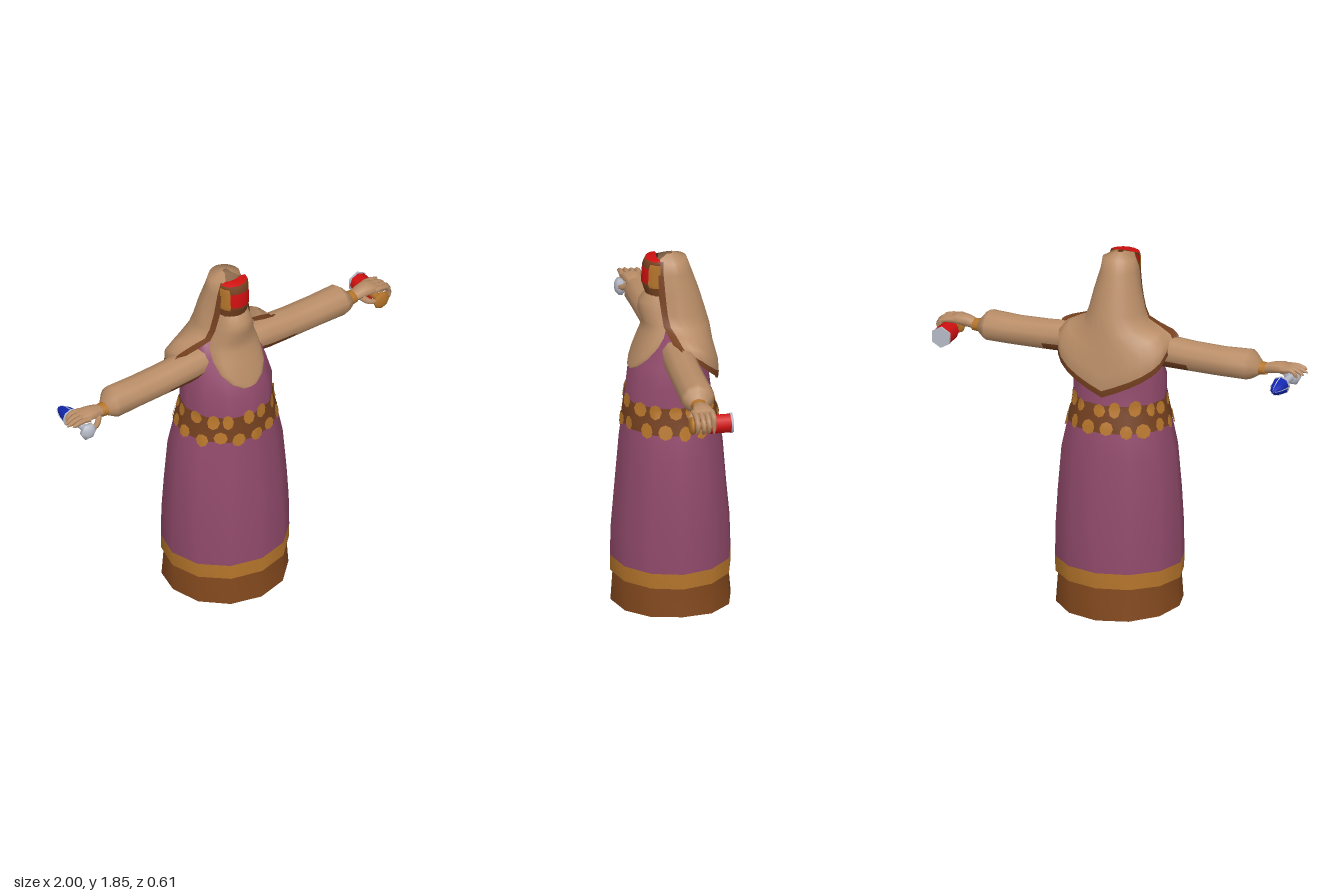
import * as THREE from 'three';
import { mergeVertices } from 'three/addons/utils/BufferGeometryUtils.js';

const mat = (name, color) => new THREE.MeshStandardMaterial({ name, color, side: THREE.DoubleSide });
const { sin, cos, PI, abs, floor, sign } = Math;

// Smooth surface from a rule f(u, v); pick(i, j) chooses a material per quad
function surface(nu, nv, f, pick = () => 0) {
  const pos = [], lists = [];
  for (let j = 0; j <= nv; j++) for (let i = 0; i <= nu; i++) pos.push(...f(i / nu, j / nv));
  for (let j = 0; j < nv; j++) for (let i = 0; i < nu; i++) {
    const a = j * (nu + 1) + i, b = a + 1, c = a + nu + 1, d = c + 1;
    (lists[pick(i, j)] ??= []).push(a, b, c, b, d, c);
  }
  const g = new THREE.BufferGeometry();
  g.setAttribute('position', new THREE.Float32BufferAttribute(pos, 3));
  let start = 0;
  lists.forEach((l, m) => { g.addGroup(start, l.length, m); start += l.length; });
  g.setIndex(lists.flat().filter(n => n !== undefined));
  const merged = mergeVertices(g, 1e-4);
  merged.computeVertexNormals();
  return merged;
}

// Linear lookup in a table of rows at position t (in rows)
function rowAt(rows, t) {
  const k = Math.min(rows.length - 2, floor(t)), f = t - k;
  return rows[k].map((n, i) => n + (rows[k + 1][i] - n) * f);
}

// Point on a 12-sided ring [y, halfWidth, zFront, zBack]; u goes round once
const SIDES = 12;
function ringPoint([y, w, zf, zb], u, grow = 0) {
  const s = u * SIDES, k = floor(s), f = s - k;
  const at = n => {
    const a = (n / SIDES) * 2 * PI, c = cos(a);
    return [sin(a) * (w + grow), c * ((c > 0 ? zf : -zb) + grow)];
  };
  const p = at(k), q = at(k + 1);
  return [p[0] + (q[0] - p[0]) * f, y, p[1] + (q[1] - p[1]) * f];
}

// Tube along x from sections [x, y, ry, z, rz]
const limb = (rows, sides, pick) => surface(sides, rows.length - 1, (u, v) => {
  const [x, y, ry, z, rz] = rowAt(rows, v * (rows.length - 1)), a = u * 2 * PI;
  return [x, y + ry * cos(a), z + rz * sin(a)];
}, pick);

export function createModel() {
  const model = new THREE.Group();
  const purple = mat('purple cloth', 0x914a6b), tan = mat('tan cloth', 0xb98d67);
  const brown = mat('brown trim', 0x74401f), rust = mat('underskirt brown', 0x82481d);
  const ochre = mat('ochre', 0xb5752b), red = mat('red', 0xd01010);
  const blue = mat('blue', 0x1228b4), grey = mat('silver', 0xb9bdca);
  const add = (name, geo, m, parent = model) => {
    const mesh = new THREE.Mesh(geo, m);
    mesh.name = name;
    parent.add(mesh);
    return mesh;
  };

  // Dress with its ochre hem
  const dress = [
    [0.17, 0.325, 0.305, -0.305], [0.25, 0.327, 0.305, -0.305], [0.42, 0.325, 0.3, -0.3],
    [0.6, 0.316, 0.285, -0.283], [0.83, 0.297, 0.265, -0.265], [1.0, 0.258, 0.245, -0.235],
    [1.09, 0.235, 0.235, -0.208], [1.2, 0.24, 0.222, -0.195], [1.3, 0.215, 0.18, -0.19],
    [1.4, 0.19, 0.115, -0.17], [1.47, 0.165, 0.06, -0.13], [1.5, 0.09, 0.03, -0.08]];
  const nd = dress.length - 1;
  add('dress', surface(SIDES, nd, (u, v) => ringPoint(rowAt(dress, v * nd), u),
    (i, j) => (j === 0 ? 1 : 0)), [purple, ochre]);
  const dressAt = (u, y, grow) => {
    let k = 0;
    while (dress[k + 1][0] < y) k++;
    return ringPoint(rowAt(dress, k + (y - dress[k][0]) / (dress[k + 1][0] - dress[k][0])), u, grow);
  };

  // Underskirt, with a gently uneven lower edge
  add('underskirt', surface(SIDES, 1, (u, v) => {
    const p = ringPoint(v ? [0.19, 0.31, 0.29, -0.29] : [0.02, 0.322, 0.302, -0.306], u);
    if (!v) p[1] -= p[2] > 0 ? p[2] * 0.03 : -p[2] * 0.065;
    return p;
  }), rust);

  // Belt with two staggered rows of flat ochre studs
  const belt = new THREE.Group();
  belt.name = 'belt';
  model.add(belt);
  add('beltBand', surface(SIDES, 3, (u, v) => dressAt(u, 0.97 + 0.135 * v, 0.004)), brown, belt);
  let seed = 7;
  const rnd = () => (seed = (seed * 16807) % 2147483647) / 2147483647;
  for (let row = 0; row < 2; row++) for (let k = 0; k < 16; k++) {
    const uc = (k + 0.5 * row + 0.3 * rnd() + 1) / 16, yc = (row ? 1.085 : 0.985) + 0.024 * (rnd() - 0.5);
    const rx = 0.019 + 0.006 * rnd(), ry = 0.031 + 0.011 * rnd();
    add('beltStud', surface(8, 2, (u, v) =>
      dressAt(uc + rx * v * cos(u * 2 * PI), yc + ry * v * sin(u * 2 * PI), 0.009)), ochre, belt);
  }

  // Hood and shoulder cape: rows of [back y, back z, side x, y, z, front edge x, y, z]
  const hood = [
    [1.85, -0.01, 0.015, 1.85, 0.0, 0.015, 1.85, 0.02], [1.83, -0.08, 0.085, 1.82, 0.0, 0.05, 1.828, 0.07],
    [1.76, -0.105, 0.095, 1.76, 0.0, 0.08, 1.76, 0.075], [1.66, -0.14, 0.12, 1.66, -0.02, 0.09, 1.65, 0.075],
    [1.56, -0.17, 0.145, 1.56, -0.02, 0.11, 1.56, 0.065], [1.47, -0.195, 0.165, 1.5, -0.04, 0.135, 1.51, 0.06],
    [1.38, -0.205, 0.24, 1.475, -0.07, 0.2, 1.485, 0.05], [1.27, -0.23, 0.285, 1.43, -0.095, 0.27, 1.465, 0.04],
    [1.19, -0.235, 0.285, 1.375, -0.1, 0.3, 1.455, 0.02], [1.155, -0.23, 0.285, 1.345, -0.1, 0.315, 1.445, 0.01]];
  const nh = hood.length - 1, cols = 18;
  add('hood', surface(cols, nh, (u, v) => {
    const [yb, zb, xs, ys, zs, xf, yf, zf] = rowAt(hood, v * nh);
    const t = u * 2 - 1, s = abs(t), side = sign(t);
    if (s <= 0.67) {
      const k = s / 0.67, a = k * PI / 2;
      return [side * xs * sin(a), yb + (ys - yb) * k, zs + (zb - zs) * cos(a)];
    }
    const k = Math.min(1, (s - 0.67) / 0.33);
    return [side * (xs + (xf - xs) * k), ys + (yf - ys) * k, zs + (zf - zs) * k];
  }, (i, j) => (j === nh - 1 || (j > 0 && (i === 0 || i === cols - 1)) ? 1 : 0)), [tan, brown]);

  // Curved front panel from rows [y, half width, edge z, centre z]
  const panel = (rows, n, pick) => surface(n, rows.length - 1, (u, v) => {
    const [y, w, ze, zc] = rowAt(rows, v * (rows.length - 1)), a = (u - 0.5) * PI;
    return [w * sin(a), y, ze + (zc - ze) * cos(a)];
  }, pick);

  // Veil hanging from the face over the chest
  add('veil', panel([
    [1.65, 0.075, 0.06, 0.128], [1.61, 0.09, 0.06, 0.158], [1.56, 0.105, 0.055, 0.165],
    [1.5, 0.125, 0.045, 0.142], [1.45, 0.138, 0.06, 0.152], [1.4, 0.142, 0.09, 0.17],
    [1.34, 0.132, 0.14, 0.19], [1.29, 0.095, 0.182, 0.205], [1.26, 0.045, 0.205, 0.214],
    [1.255, 0, 0.21, 0.212]], 10), tan);

  // Face: brown frame, ochre cheeks, red centre
  add('face', panel([
    [1.832, 0.04, 0.06, 0.07], [1.83, 0.075, 0.065, 0.125], [1.815, 0.08, 0.065, 0.132],
    [1.79, 0.08, 0.065, 0.142], [1.71, 0.08, 0.065, 0.147], [1.69, 0.08, 0.065, 0.14],
    [1.635, 0.075, 0.06, 0.122]], 8, (i, j) => {
    const centre = i > 1 && i < 6;
    if (j === 0) return 2;
    if (j === 3) return centre ? 2 : 1;
    return (j === 2 || j === 4) ? (centre ? 0 : 1) : 0;
  }), [brown, ochre, red]);

  // Arms, cuffs and hands, built on +x and mirrored
  const fingerGeo = (pts, r) => {
    const path = new THREE.CatmullRomCurve3(pts.map(p => new THREE.Vector3(...p)));
    return surface(6, 6, (u, v) => {
      const p = path.getPoint(v), t = path.getTangent(v), a = u * 2 * PI;
      const q = r * (v === 1 ? 0.2 : 1 - 0.35 * v), len = Math.hypot(t.x, t.y) || 1;
      return [p.x - q * cos(a) * t.y / len, p.y + q * cos(a) * t.x / len, p.z + q * sin(a)];
    });
  };
  for (const side of [1, -1]) {
    const arm = new THREE.Group();
    arm.name = side > 0 ? 'leftArm' : 'rightArm';
    arm.scale.x = side;
    model.add(arm);
    add('sleeve', limb([
      [0.1, 1.37, 0.075, 0, 0.07], [0.24, 1.362, 0.083, 0, 0.08], [0.39, 1.355, 0.077, 0, 0.081],
      [0.55, 1.352, 0.075, 0, 0.083], [0.7, 1.355, 0.078, 0.004, 0.086], [0.72, 1.352, 0.066, 0.006, 0.075],
      [0.755, 1.342, 0.034, 0.012, 0.045], [0.756, 1.342, 0, 0.012, 0]], 10,
    (i, j) => (j < 2 && i > 2 && i < 7 ? 1 : 0)), [tan, brown]);
    add('cuff', limb([[0.74, 1.342, 0.035, 0.012, 0.043], [0.79, 1.342, 0.031, 0.012, 0.037]], 8), ochre, arm);
    arm.add(model.children.find(c => c.name === 'sleeve'));
    add('palm', limb([
      [0.77, 1.342, 0.026, 0.012, 0.032], [0.82, 1.355, 0.029, 0.014, 0.042], [0.87, 1.362, 0.026, 0.016, 0.055],
      [0.91, 1.357, 0.017, 0.016, 0.052], [0.915, 1.357, 0, 0.016, 0]], 8), tan, arm);
    // The left fingers curl further round what they hold
    for (let k = 0; k < 4; k++) {
      const z = -0.026 + 0.028 * k, reach = [0.965, 0.99, 1.0, 0.985][k];
      const pts = side > 0
        ? [[0.88, 1.36, z], [0.95, 1.352, z], [reach - 0.012, 1.315, z], [0.955, 1.268, z]]
        : [[0.88, 1.36, z], [0.94, 1.364, z], [reach, 1.352 - 0.014 * (3 - k) * 0.5, z]];
      add('finger', fingerGeo(pts, 0.016), tan, arm);
    }
    add('thumb', fingerGeo([[0.81, 1.345, 0.04], [0.845, 1.315, 0.068], [0.895, 1.305, 0.075]], 0.018), tan, arm);
  }

  // Held tools, each lying along z with its head to the back
  const tool = (name, x) => {
    const g = new THREE.Group();
    g.name = name;
    g.position.set(x, 1.3, 0);
    g.rotation.x = -PI / 2;
    model.add(g);
    return g;
  };
  const drum = (name, r, y0, y1, m, g, sides = 8) =>
    add(name, new THREE.CylinderGeometry(r, r, y1 - y0, sides), m, g).position.y = (y0 + y1) / 2;

  const leftTool = tool('leftTool', 0.91);
  drum('toolHead', 0.05, 0.01, 0.115, red, leftTool);
  drum('toolCap', 0.055, 0.115, 0.127, grey, leftTool, 6);
  drum('toolGrip', 0.02, -0.07, 0.01, ochre, leftTool);
  const knob = add('toolKnob', new THREE.SphereGeometry(0.048, 8, 6), ochre, leftTool);
  knob.scale.y = 0.35;
  knob.position.y = -0.076;

  const rightTool = tool('rightTool', -0.9);
  const bullet = grow => [[0, 0.18], [0.022, 0.155], [0.037, 0.115], [0.044, 0.078]]
    .map(([r, y]) => new THREE.Vector2(r + grow, y + grow));
  add('pointedHead', new THREE.LatheGeometry(bullet(0), 8), blue, rightTool);
  for (let k = 0; k < 4; k++)
    add('headRib', new THREE.LatheGeometry(bullet(0.003), 1, k * PI / 2 - 0.07, 0.14), grey, rightTool);
  drum('headCollar', 0.047, 0.068, 0.078, grey, rightTool);
  drum('toolGrip', 0.018, -0.07, 0.07, grey, rightTool);
  const pommel = add('toolPommel', new THREE.SphereGeometry(0.048, 6, 5), grey, rightTool);
  pommel.scale.y = 0.6;
  pommel.position.y = -0.07;

  return model;
}
